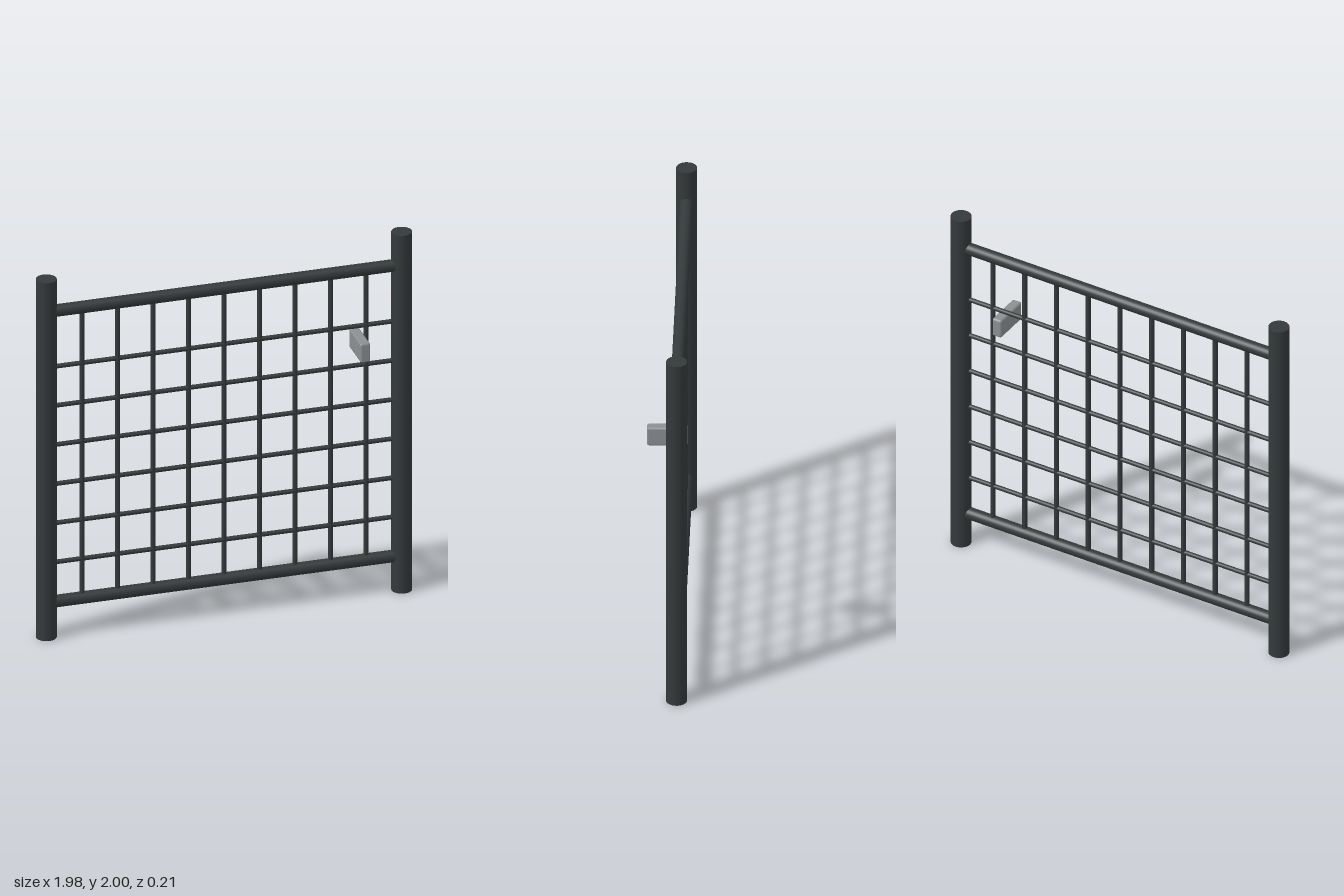
import * as THREE from 'three';
import { RoundedBoxGeometry } from 'three/addons/geometries/RoundedBoxGeometry.js';

const Z = -0.052; // plane of the gate panel

export function createModel() {
  const gate = new THREE.Group();
  gate.name = 'gate';
  const metal = new THREE.MeshStandardMaterial({ color: 0x34393a });
  const handleMat = new THREE.MeshStandardMaterial({ color: 0x8c9092 });

  // Round bar centred at (x, y) in the gate plane
  function bar(name, radius, length, x, y, horizontal, sides = 16) {
    const mesh = new THREE.Mesh(new THREE.CylinderGeometry(radius, radius, length, sides), metal);
    mesh.name = name;
    mesh.position.set(x, y, Z);
    if (horizontal) mesh.rotation.z = Math.PI / 2;
    gate.add(mesh);
  }

  // Posts
  bar('leftPost', 0.053, 2, 0.937, 1, false, 32);
  bar('rightPost', 0.053, 2, -0.937, 1, false, 32);

  // Top and bottom rails
  const low = 0.192, high = 1.816;
  bar('topRail', 0.032, 1.82, 0, high, true, 32);
  bar('bottomRail', 0.032, 1.82, 0, low, true, 32);

  // Mesh of thin bars
  for (let i = -4; i <= 4; i++) bar('verticalBar', 0.013, high - low, i * 0.1872, (low + high) / 2, false);
  for (let i = 0; i < 6; i++) bar('crossBar', 0.012, 1.82, 0, 0.411 + i * 0.2187, true);

  // Handle block through the mesh
  const handle = new THREE.Mesh(new RoundedBoxGeometry(0.054, 0.106, 0.204, 1, 0.011), handleMat);
  handle.name = 'handle';
  handle.position.set(0.699, 1.423, 0.002);
  gate.add(handle);

  return gate;
}
